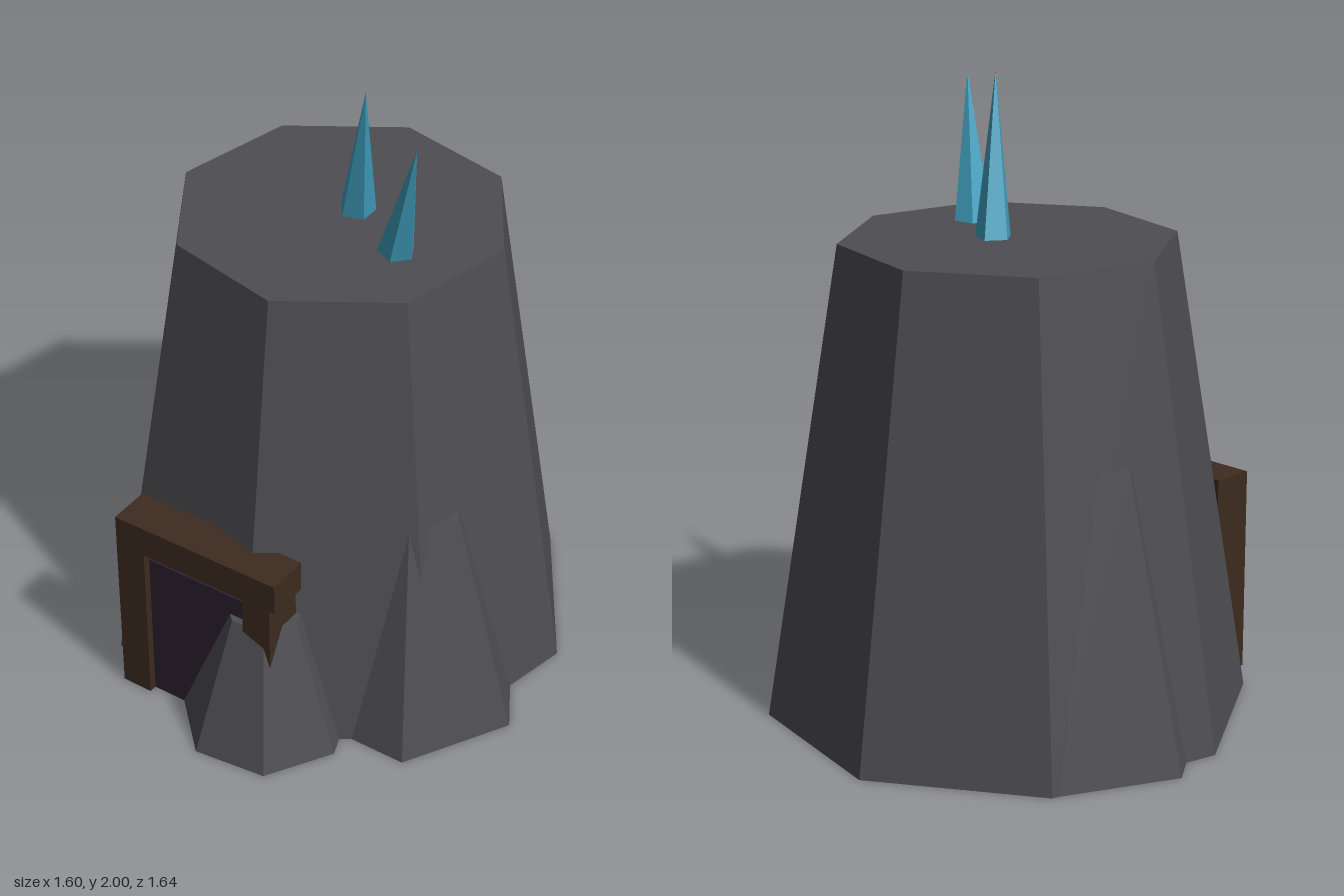
import * as THREE from 'three';

const flat = (name, color) => {
  const m = new THREE.MeshStandardMaterial({ color, flatShading: true });
  m.name = name;
  return m;
};

export function createModel() {
  const rock = flat('darkRock', 0x4d4d52);
  const wood = flat('darkWood', 0x3d2b1f);
  const shade = flat('doorwayShade', 0x2d1f2d);
  const ice = flat('blueCrystal', 0x3f9dbb);
  const group = new THREE.Group();

  const add = (name, geometry, material) => {
    const mesh = new THREE.Mesh(geometry, material);
    mesh.name = name;
    group.add(mesh);
    return mesh;
  };

  // Tapered rock standing on the ground; turn is the bearing of its first corner from +z
  const addRock = (name, x, z, rTop, rBottom, height, sides, turn) => {
    const start = THREE.MathUtils.degToRad(turn);
    const geo = new THREE.CylinderGeometry(rTop, rBottom, height, sides, 1, false, start);
    add(name, geo, rock).position.set(x, height / 2, z);
  };
  addRock('rockTower', 0, -0.0725, 0.525, 0.768, 1.51, 8, 9.86);
  addRock('frontSpur', 0.14, 0.555, 0.125, 0.275, 0.46, 7, -19);
  addRock('leftSpur', 0.42, 0.17, 0.17, 0.38, 0.74, 6, 90);
  addRock('rightSpur', -0.38, -0.175, 0.21, 0.42, 0.92, 6, -85);

  // Box given by its lowest and highest corners
  const addBox = (name, lo, hi, material) => {
    const size = hi.map((v, i) => v - lo[i]);
    const mid = hi.map((v, i) => (v + lo[i]) / 2);
    add(name, new THREE.BoxGeometry(...size), material).position.set(...mid);
  };
  addBox('doorLintel', [-0.335, 0.565, 0.535], [0.26, 0.67, 0.675], wood);
  addBox('doorPostRight', [-0.335, 0, 0.535], [-0.23, 0.565, 0.675], wood);
  addBox('doorPostLeft', [0.14, 0, 0.535], [0.24, 0.565, 0.675], wood);
  addBox('doorway', [-0.23, 0, 0.56], [0.14, 0.53, 0.65], shade);

  // Leaning crystal, its foot sunk slightly into the tower top
  const addCrystal = (name, foot, tip, radius, turn) => {
    const end = new THREE.Vector3(...tip);
    const axis = end.clone().sub(new THREE.Vector3(...foot)).multiplyScalar(1.1);
    const length = axis.length();
    const geo = new THREE.ConeGeometry(radius * 1.1, length, 5, 1, false, THREE.MathUtils.degToRad(turn));
    geo.translate(0, -length / 2, 0);
    const mesh = add(name, geo, ice);
    mesh.quaternion.setFromUnitVectors(new THREE.Vector3(0, 1, 0), axis.normalize());
    mesh.position.copy(end);
  };
  addCrystal('tallCrystal', [0.037, 1.51, -0.1], [0.13, 2, 0], 0.058, -18);
  addCrystal('shortCrystal', [0.26, 1.51, 0.025], [0.385, 1.955, 0.125], 0.058, 10);

  return group;
}
